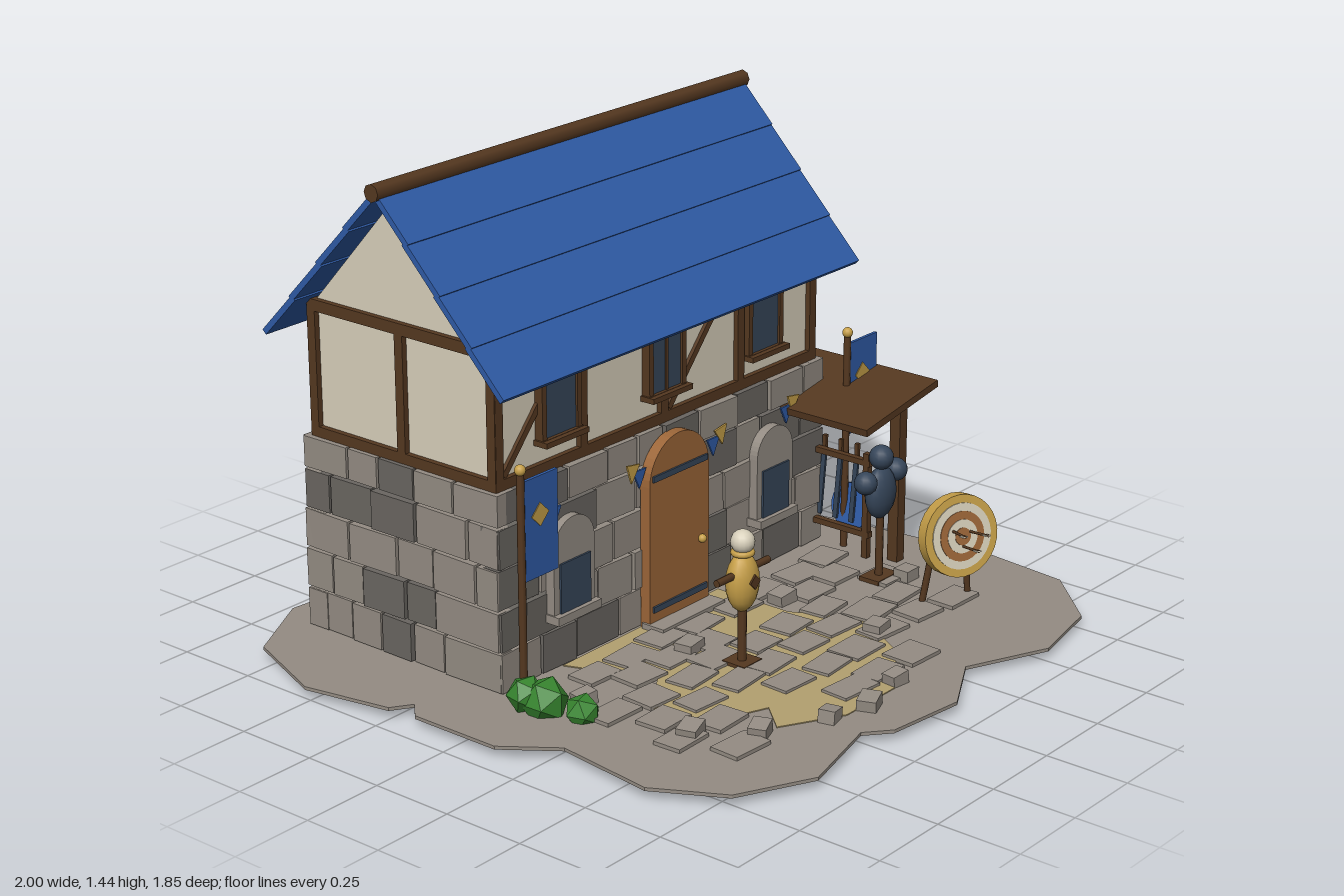
import * as THREE from 'three';

const colour = (name, hex) => Object.assign(new THREE.MeshStandardMaterial({ color: hex }), { name });

export function createModel() {
  const M = {
    blue: colour('blue cloth and tiles', 0x2f5ba6), wood: colour('dark timber', 0x553820),
    cream: colour('plaster', 0xd8d0bb), stone: colour('light stone', 0x948c83),
    dark: colour('dark stone', 0x6a6661), navy: colour('dark steel and glass', 0x36465a),
    gold: colour('straw gold', 0xc69f48), green: colour('leaf green', 0x37852f),
    door: colour('door wood', 0x9c6638), sand: colour('sand', 0xb3a070),
  };
  const root = new THREE.Group();
  root.name = 'barracks';
  let seed = 7;
  const rnd = (a, b) => { seed = (seed * 16807) % 2147483647; return a + (b - a) * seed / 2147483647; };

  const group = (name, x = 0, y = 0, z = 0, parent = root) => {
    const g = new THREE.Group();
    g.name = name; g.position.set(x, y, z); parent.add(g);
    return g;
  };
  const add = (parent, name, geo, mat, x = 0, y = 0, z = 0, rx = 0, ry = 0, rz = 0) => {
    const m = new THREE.Mesh(geo, mat);
    m.name = name; m.position.set(x, y, z); m.rotation.set(rx, ry, rz); parent.add(m);
    return m;
  };
  const box = (p, n, mat, w, h, d, ...t) => add(p, n, new THREE.BoxGeometry(w, h, d), mat, ...t);
  const ball = (p, n, mat, r, ...t) => add(p, n, new THREE.SphereGeometry(r, 16, 10), mat, ...t);
  const disc = (p, n, mat, r, h, seg, x, y, z) =>
    add(p, n, new THREE.CylinderGeometry(r, r, h, seg), mat, x, y, z, Math.PI / 2);
  const rod = (p, n, mat, a, b, r) => {
    const A = new THREE.Vector3(...a), B = new THREE.Vector3(...b);
    const m = add(p, n, new THREE.CylinderGeometry(r, r, A.distanceTo(B), 8), mat);
    m.position.copy(A).add(B).multiplyScalar(0.5);
    m.quaternion.setFromUnitVectors(new THREE.Vector3(0, 1, 0), B.sub(A).normalize());
    return m;
  };
  const slab = (pts, depth) => new THREE.ExtrudeGeometry(
    new THREE.Shape(pts.map(([x, y]) => new THREE.Vector2(x, y))), { depth, bevelEnabled: false });
  const arch = (w, h, depth) => {
    const s = new THREE.Shape();
    s.moveTo(-w / 2, 0); s.lineTo(w / 2, 0); s.lineTo(w / 2, h - w / 2);
    s.absarc(0, h - w / 2, w / 2, 0, Math.PI, false);
    return new THREE.ExtrudeGeometry(s, { depth, bevelEnabled: false, curveSegments: 10 });
  };

  // Ground and sand patch
  const flat = (n, pts, h, mat, y) => add(root, n, slab(pts.map(([x, z]) => [x, -z]), h), mat, 0, y, 0, -Math.PI / 2);
  flat('ground', [[-1, -.52], [-.89, -.8], [-.65, -.93], [-.36, -.9], [-.29, -.87], [-.13, -.88], [.1, -.91],
    [.15, -.88], [.38, -.88], [.47, -.91], [.76, -.88], [.94, -.71], [1, -.45], [.89, -.19], [.91, -.08], [.97, .41],
    [.94, .68], [.76, .87], [.51, .92], [.26, .81], [.06, .92], [-.19, .89], [-.26, .83], [-.54, .9], [-.76, .79],
    [-.87, .59], [-.83, .28], [-.94, .13], [-.94, -.16], [-.89, -.21], [-.95, -.25]], .01, M.stone, .03);
  flat('sandPatch', [[-.45, -.06], [.24, -.06], [.24, .2], [.34, .4], [.22, .6], [.02, .74], [-.2, .74], [-.38, .64],
    [-.3, .55], [-.52, .46], [-.5, .3], [-.35, .2]], .003, M.sand, .04);

  // Paving and loose rocks
  const paving = group('paving');
  [.05, .15, .26, .37, .5, .65].forEach((z, i) => {
    for (let x = -.6 + (i % 2) * .07; x < .66; x += .153) {
      const skip = (i === 1 && x > 0 && x < .25) || (i === 5 && x > -.45 && x < -.1) || rnd(0, 1) < .07;
      if (!skip) box(paving, 'pavingStone', M.stone, rnd(.115, .143), .014, rnd(.085, .108),
        x + rnd(-.01, .01), .044, z + rnd(-.015, .015), 0, rnd(-.1, .1));
    }
  });
  for (const [x, z] of [[-.59, .14], [.29, .14], [-.15, .15], [.66, .32], [.29, .48], [-.56, .49], [-.44, .63],
    [.05, .72], [-.12, .755], [-.25, .72]])
    box(root, 'looseRock', M.stone, rnd(.05, .075), .04, rnd(.045, .06), x, .055, z, 0, rnd(-.4, .4), rnd(-.15, .15));

  // House, centred on its own footprint
  const house = group('house', .02, 0, -.43);
  box(house, 'foundation', M.dark, 1.38, .6, .68, 0, .325, 0);
  const wall = (len, place) => {
    for (let r = 0; r < 5; r++) {
      const h = r < 4 ? .122 : .1;
      let u = -len / 2, first = r % 2 ? .1 : .17;
      while (u < len / 2 - .01) {
        let w = first || rnd(.11, .2);
        first = 0;
        if (len / 2 - u - w < .07) w = len / 2 - u;
        place(u + w / 2, .042 + r * .122 + h / 2, w - .008, h - .008, rnd(.055, .075), rnd(0, 1) < .33 ? M.dark : M.stone);
        u += w;
      }
    }
  };
  for (const s of [-1, 1]) {
    wall(1.45, (u, y, w, h, d, m) => box(house, 'wallStone', m, w, h, d, u, y, s * .338, 0, rnd(-.03, .03), rnd(-.02, .02)));
    wall(.74, (u, y, w, h, d, m) => box(house, 'wallStone', m, d, h, w, s * .69, y, u, 0, rnd(-.03, .03)));
  }

  // Plastered upper storey and timber frame
  box(house, 'upperWall', M.cream, 1.38, .41, .67, 0, .825, 0);
  add(house, 'gable', slab([[-.335, 1.02], [.335, 1.02], [0, 1.39]], 1.38), M.cream, -.69, 0, 0, 0, Math.PI / 2);
  for (const s of [-1, 1]) {
    for (const y of [.64, 1.015]) {
      box(house, 'longBeam', M.wood, 1.41, .034, .03, 0, y, s * .336);
      box(house, 'sideBeam', M.wood, .03, .034, .7, s * .692, y, 0);
    }
    for (const x of [-.69, -.347, 0, .347, .69]) box(house, 'post', M.wood, .03, .38, .03, x, .83, s * .336);
    for (const z of [-.335, 0, .335]) box(house, 'sidePost', M.wood, .03, .38, .03, s * .692, .83, z);
    for (const x of [-.52, .175]) box(house, 'brace', M.wood, .02, .45, .016, x, .83, s * .338, 0, 0, -.72);
  }
  for (const x of [-.45, 0, .45]) {
    const w = group('upperWindow', x, .82, .348, house);
    box(w, 'glass', M.navy, .14, .2, .016);
    for (const s of [-1, 1]) {
      box(w, 'frameSide', M.wood, .018, .22, .03, s * .072, 0, 0);
      box(w, 'frameRail', M.wood, .162, .018, .034, 0, s * .102, .002);
    }
    box(w, 'sill', M.wood, .175, .016, .05, 0, -.102, .01);
    if (x === 0) box(w, 'mullion', M.wood, .012, .2, .024);
  }

  // Overlapping roof strips on both slopes, ridge pole
  const slope = Math.atan2(.48, .44), strip = .651 / 4;
  for (const s of [-1, 1]) for (let i = 0; i < 4; i++) {
    const t = strip * (i + .5);
    box(house, 'roofStrip', M.blue, 1.56, .018, strip + .012, 0, 1.412 - t * Math.sin(slope),
      s * t * Math.cos(slope), s * (slope - .03), 0, 0);
  }
  rod(house, 'ridgePole', M.wood, [-.79, 1.415, 0], [.79, 1.415, 0], .026);

  // Door
  const door = group('door', .02, .04, -.06);
  add(door, 'doorLeaf', arch(.265, .57, .035), M.door);
  for (const y of [.06, .46]) box(door, 'ironBand', M.navy, .24, .018, .008, 0, y, .037);
  ball(door, 'doorKnob', M.gold, .013, .095, .215, .042);
  box(door, 'doorStep', M.stone, .28, .02, .08, 0, .01, .05);

  // Ground floor windows
  for (const x of [-.43, .47]) {
    const w = group('lowerWindow', x, .21, -.06);
    add(w, 'stoneArch', arch(.17, .285, .03), M.stone);
    box(w, 'glass', M.navy, .125, .15, .008, 0, .085, .032);
    box(w, 'sill', M.stone, .18, .025, .06, 0, 0, .02);
  }

  // Pennants along the front wall
  for (const [i, x] of [-.525, -.165, .225, .57].entries()) {
    const tri = slab([[-.028, 0], [.028, 0], [0, -.055]], .006);
    add(root, 'goldPennant', tri, M.gold, x, .56, -.045, 0, 0, i % 2 ? -.15 : .15);
    add(root, 'bluePennant', tri, M.blue, x + (i < 2 ? .03 : -.03), .535, -.048);
  }

  // Banner poles
  for (const x of [-.705, .745]) {
    const b = group('banner', x, 0, .025);
    rod(b, 'pole', M.wood, [0, .035, 0], [0, .72, 0], .011);
    ball(b, 'finial', M.gold, .016, 0, .725, 0);
    box(b, 'cloth', M.blue, .135, .29, .01, .075, .545, 0);
    for (const s of [-1, 1]) disc(b, 'emblem', M.gold, .034, .004, 4, .07, .58, s * .006);
  }

  // Lean-to with weapon rack
  const lean = group('leanTo');
  box(lean, 'leanToRoof', M.wood, .36, .022, .55, .72, .545, -.025, 0, 0, .16);
  box(lean, 'post', M.wood, .036, .5, .036, .757, .285, .21);
  box(lean, 'bearer', M.wood, .035, .03, .5, .757, .53, -.03);
  const rack = group('weaponRack', .715, 0, .02);
  for (const z of [-.11, .11]) box(rack, 'rackPost', M.wood, .02, .34, .02, 0, .205, z);
  for (const y of [.115, .345]) box(rack, 'rackRail', M.wood, .02, .018, .25, 0, y, 0);
  for (const z of [-.07, -.01, .05]) {
    box(rack, 'blade', M.navy, .008, .22, .016, .016, .24, z, .08);
    box(rack, 'hilt', M.wood, .012, .05, .012, .016, .365, z + .01);
    box(rack, 'guard', M.gold, .012, .01, .045, .016, .335, z + .008);
  }
  add(rack, 'shield', new THREE.CylinderGeometry(.072, .072, .016, 20), M.blue, .035, .175, .03, 0, 0, Math.PI / 2 - .2);
  ball(rack, 'shieldBoss', M.gold, .014, .043, .175, .03);

  // Armour stand
  const armour = group('armourStand', .61, 0, .255);
  box(armour, 'base', M.wood, .1, .016, .07, 0, .045, 0);
  rod(armour, 'pole', M.wood, [0, .04, 0], [0, .28, 0], .012);
  ball(armour, 'breastplate', M.navy, .062, 0, .315, 0).scale.set(1, 1.3, .6);
  ball(armour, 'helmet', M.navy, .037, 0, .425, 0);
  for (const s of [-1, 1]) ball(armour, 'pauldron', M.navy, .035, s * .075, .365, 0);

  // Straw training dummy
  const dummy = group('trainingDummy', -.12, 0, .315);
  box(dummy, 'base', M.wood, .08, .014, .08, 0, .046, 0);
  rod(dummy, 'post', M.wood, [0, .04, 0], [0, .3, 0], .013);
  ball(dummy, 'strawBody', M.gold, .055, 0, .29, 0).scale.set(1, 1.6, .8);
  rod(dummy, 'arms', M.wood, [-.115, .32, 0], [.115, .32, 0], .011);
  ball(dummy, 'head', M.cream, .035, 0, .41, 0);
  add(dummy, 'collar', new THREE.TorusGeometry(.026, .009, 8, 16), M.gold, 0, .378, 0, Math.PI / 2);
  disc(dummy, 'chestMark', M.wood, .022, .006, 4, 0, .3, .044);

  // Archery target, leaning back on its legs
  const target = group('archeryTarget', .585, .265, .55);
  target.rotation.set(-.17, -.4, 0, 'YXZ');
  disc(target, 'strawDisc', M.gold, .122, .04, 28, 0, 0, 0);
  [[.098, 'cream'], [.074, 'door'], [.05, 'cream'], [.026, 'door']].forEach(([r, c], i) =>
    disc(target, 'ring', M[c], r, .004, 28, 0, 0, .021 + i * .002));
  for (const [x, y] of [[-.03, .02], [.025, .01], [0, -.03]]) {
    rod(target, 'arrow', M.wood, [x, y, .02], [x * 1.4, y, .11], .004);
    box(target, 'fletching', M.cream, .016, .004, .02, x * 1.4, y, .1);
  }
  for (const s of [-1, 1]) rod(target, 'leg', M.wood, [s * .04, .08, -.02], [s * .08, -.22, -.1], .01);

  // Shrubs and tufts
  for (const [x, y, z, r] of [[-.695, .07, .09, .07], [-.665, .06, .2, .052], [-.72, .085, .045, .055],
    [-.2, .03, -.5, .03], [.07, .03, -.73, .03], [.57, .03, -.42, .03]])
    add(root, 'shrub', new THREE.IcosahedronGeometry(r, 0), M.green, x, y, z, 0, x * 9, 0);

  return root;
}
